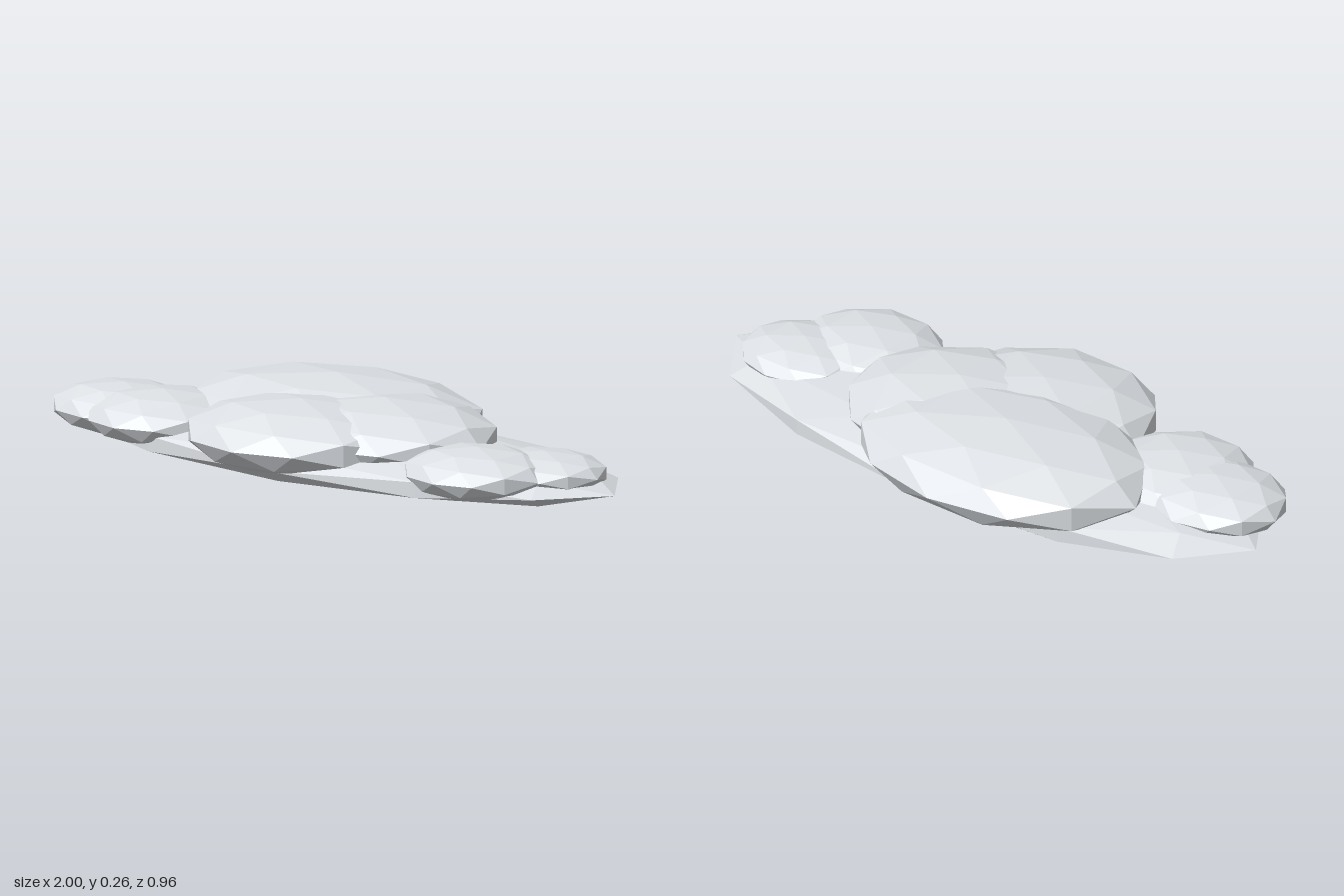
import * as THREE from 'three';

// Low-poly cloud: a wide flat base with squashed faceted puffs on it.
export function createModel() {
  const group = new THREE.Group();
  const cloudGrey = new THREE.MeshStandardMaterial({ color: 0xdde1e5, flatShading: true });
  cloudGrey.name = 'cloudGrey';

  const addPuff = (name, [x, y, z], [rx, ry, rz], turned = true) => {
    const geometry = new THREE.IcosahedronGeometry(1, 1);
    if (turned) geometry.rotateY(Math.PI / 2);
    geometry.scale(rx, ry, rz);
    const mesh = new THREE.Mesh(geometry, cloudGrey);
    mesh.name = name;
    mesh.position.set(x, y, z);
    group.add(mesh);
  };

  // Flat lens under the puffs
  addPuff('cloudBase', [0, 0.075, 0], [1, 0.075, 0.38], false);

  // Large middle puffs
  addPuff('backPuff', [-0.15, 0.142, -0.13], [0.5, 0.121, 0.35]);
  addPuff('frontPuff', [-0.05, 0.14, 0.155], [0.36, 0.107, 0.323]);
  addPuff('middlePuff', [0.14, 0.142, 0], [0.36, 0.108, 0.31]);

  // Small puffs at both ends
  addPuff('rightOuterPuff', [-0.75, 0.117, 0.11], [0.23, 0.075, 0.197]);
  addPuff('rightInnerPuff', [-0.58, 0.12, 0.14], [0.23, 0.08, 0.23]);
  addPuff('leftInnerPuff', [0.6, 0.113, 0.14], [0.23, 0.077, 0.207]);
  addPuff('leftOuterPuff', [0.73, 0.112, -0.007], [0.2, 0.06, 0.175]);

  return group;
}
